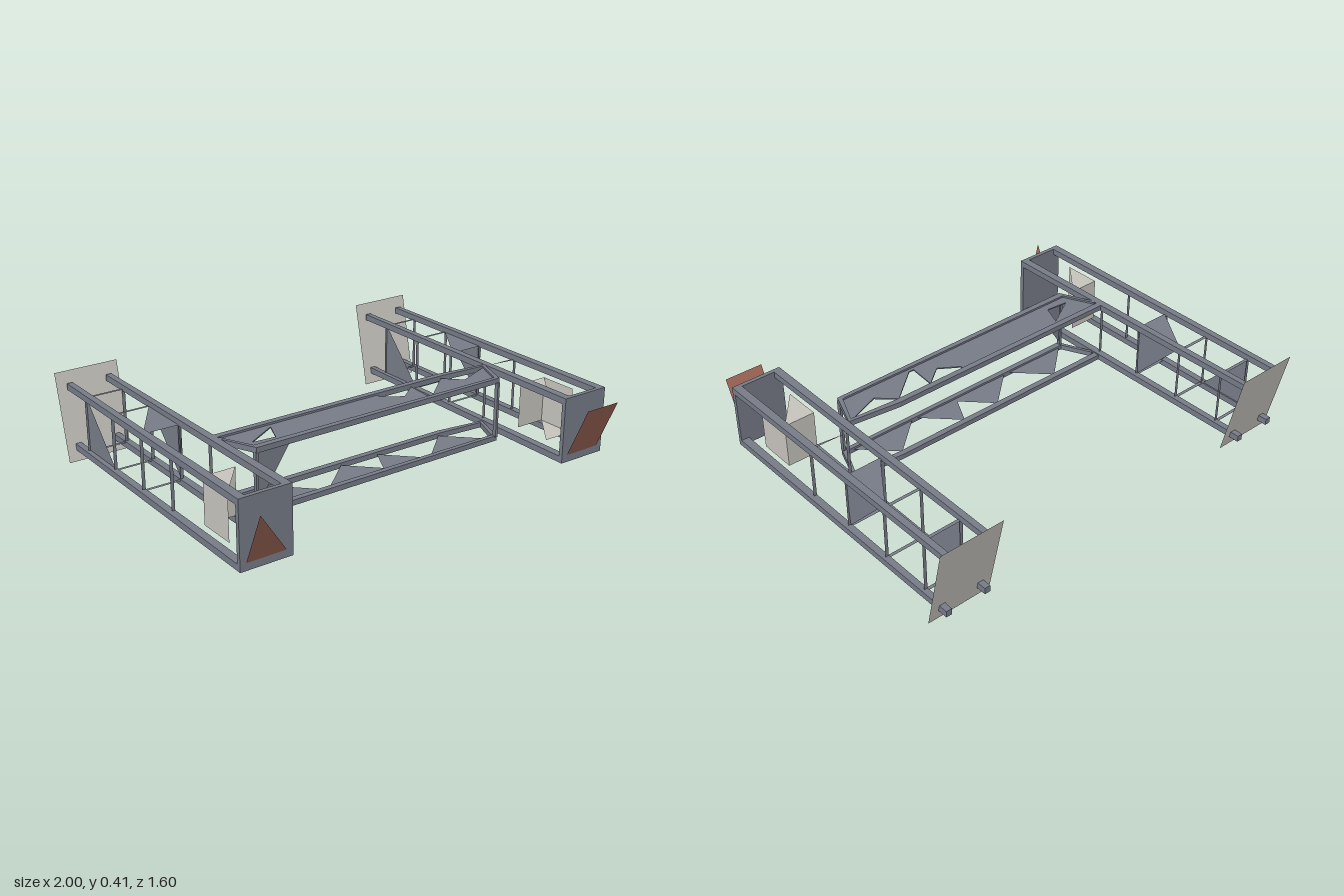
import * as THREE from 'three';

export function createModel() {
  const model = new THREE.Group();
  const material = (name, color) =>
    new THREE.MeshStandardMaterial({ name, color, side: THREE.DoubleSide, flatShading: true });
  const steel = material('steel grey', 0x777c88);
  const pale = material('pale grey', 0xc8c5be);
  const rust = material('rust red', 0xa56b5b);

  const add = (parent, name, geometry, mat) => {
    const mesh = new THREE.Mesh(geometry, mat);
    mesh.name = name;
    parent.add(mesh);
    return mesh;
  };
  // box given by its two opposite corners
  const box = (parent, name, a, b, mat = steel) => {
    const g = new THREE.BoxGeometry(b[0] - a[0], b[1] - a[1], b[2] - a[2]);
    g.translate((a[0] + b[0]) / 2, (a[1] + b[1]) / 2, (a[2] + b[2]) / 2);
    return add(parent, name, g, mat);
  };
  // flat sheet through three or four corners
  const sheet = (parent, name, corners, mat = steel) => {
    const pos = [];
    for (let i = 1; i < corners.length - 1; i++) pos.push(...corners[0], ...corners[i], ...corners[i + 1]);
    const g = new THREE.BufferGeometry();
    g.setAttribute('position', new THREE.Float32BufferAttribute(pos, 3));
    g.computeVertexNormals();
    return add(parent, name, g, mat);
  };

  // Long booms; x is measured from the boom's own centre line
  const buildBoom = (cx, isLeft) => {
    const boom = new THREE.Group();
    boom.name = isLeft ? 'leftBoom' : 'rightBoom';
    boom.position.x = cx;
    model.add(boom);

    // four rails, a little wider towards the front
    for (const s of [-1, 1]) for (const y of [0.05, 0.33]) {
      const rail = box(boom, 'rail', [s * 0.097 - 0.014, y, -0.77], [s * 0.097 + 0.014, y + 0.03, 0.69]);
      const p = rail.geometry.attributes.position;
      for (let i = 0; i < p.count; i++)
        if (p.getZ(i) > 0 && p.getX(i) * s > 0.1) p.setX(i, s * 0.122);
    }

    // front wall and its tilted panel
    box(boom, 'frontWall', [-0.122, 0.05, 0.67], [0.122, 0.36, 0.69]);
    const red = [[-0.095, 0.33, 0.80], [-0.095, 0.085, 0.692], [0.09, 0.085, 0.692]];
    if (isLeft) red.push([0.09, 0.33, 0.80]);
    sheet(boom, 'frontPanel', red, rust);

    // tilted rear plate
    sheet(boom, 'rearPlate', [[-0.155, 0, -0.71], [0.155, 0, -0.71], [0.155, 0.41, -0.80], [-0.155, 0.41, -0.80]], pale);

    // flat posts and rungs
    for (const z of [-0.62, -0.37, -0.115, 0.135]) {
      for (const x of [-0.092, 0.092])
        sheet(boom, 'post', [[x - 0.008, 0.08, z], [x + 0.008, 0.08, z], [x + 0.008, 0.33, z], [x - 0.008, 0.33, z]]);
      if (z < 0) for (const y of [0.075, 0.335])
        sheet(boom, 'rung', [[-0.085, y, z + 0.008], [0.085, y, z + 0.008], [0.085, y, z - 0.008], [-0.085, y, z - 0.008]]);
    }
    if (isLeft) sheet(boom, 'rung', [[-0.08, 0.335, 0.12], [0.085, 0.335, 0.14], [0.085, 0.335, 0.125]]);

    // triangular gussets
    sheet(boom, 'topGusset', [[0.085, 0.335, -0.37], [-0.085, 0.335, -0.11], [0.085, 0.335, -0.11]]);
    sheet(boom, 'upperGusset', [[0.09, 0.335, -0.10], [0.09, 0.08, -0.12], [0.09, 0.335, -0.36]]);
    sheet(boom, 'lowerGusset', [[-0.09, 0.335, -0.62], [-0.09, 0.08, -0.62], [-0.09, 0.08, -0.38]]);

    // open equipment box inside the boom
    const [l, r, b, t, n, f] = [-0.075, 0.075, 0.1, 0.315, 0.355, 0.54];
    const outer = isLeft ? r : l;
    sheet(boom, 'equipmentSide', [[outer, b, n], [outer, t, n], [outer, t, f], [outer, b, f]], pale);
    sheet(boom, 'equipmentBack', [[l, b, n], [r, b, n], [r, t, n], [l, t, n]], pale);
    sheet(boom, 'equipmentTop', [[l, t, n], [l, t, f], [r, t, n]], pale);
    if (isLeft) sheet(boom, 'equipmentBase', [[l, b, f], [r, b, f], [r, b, n]], pale);
  };
  buildBoom(-0.845, false);
  buildBoom(0.845, true);

  // Cross beam joining the booms
  const beam = new THREE.Group();
  beam.name = 'crossBeam';
  model.add(beam);
  // outline in x and z, extruded upwards from y
  const slab = (name, outline, y, depth, hole) => {
    const shape = new THREE.Shape(outline.map(([x, z]) => new THREE.Vector2(x, -z)));
    if (hole) shape.holes.push(new THREE.Path(hole.map(([x, z]) => new THREE.Vector2(x, -z))));
    const g = new THREE.ExtrudeGeometry(shape, { depth, bevelEnabled: false });
    g.rotateX(-Math.PI / 2).translate(0, y, 0);
    add(beam, name, g, steel);
  };
  const backRail = [[-0.73, 0.12], [0.48, 0.12], [0.725, 0.15], [0.725, 0.165], [0.48, 0.148], [-0.73, 0.15]];
  const frontRail = [[-0.72, 0.16], [-0.65, 0.305], [0.65, 0.305], [0.71, 0.16], [0.725, 0.16],
    [0.665, 0.325], [-0.655, 0.335], [-0.735, 0.16]];
  for (const y of [0.05, 0.335]) {
    slab('backRail', backRail, y, 0.025);
    slab('frontRail', frontRail, y, 0.025);
  }
  // upper web with notches
  slab('upperWeb',
    [[-0.73, 0.145], [0.10, 0.145], [0.10, 0.17], [0.19, 0.23], [0.285, 0.155], [0.275, 0.29], [0.30, 0.29],
      [0.46, 0.155], [0.54, 0.23], [0.715, 0.16], [0.66, 0.32], [-0.65, 0.32]],
    0.345, 0.006, [[-0.63, 0.26], [-0.48, 0.17], [-0.52, 0.27]]);
  // lower web of separate triangular braces
  for (const [a, apex, b] of [[-0.64, -0.46, -0.30], [-0.28, -0.10, 0.06], [0.02, 0.10, 0.26], [0.28, 0.46, 0.62]])
    sheet(beam, 'lowerBrace', [[a, 0.065, 0.31], [b, 0.065, 0.31], [apex, 0.065, 0.15]]);

  // end posts and corner gusset
  for (const x of [-0.652, 0.657])
    box(beam, 'endPost', [x - 0.006, 0.07, 0.312], [x + 0.006, 0.34, 0.332]);
  sheet(beam, 'cornerGusset', [[-0.655, 0.34, 0.32], [-0.655, 0.08, 0.32], [-0.48, 0.34, 0.32]]);

  return model;
}
